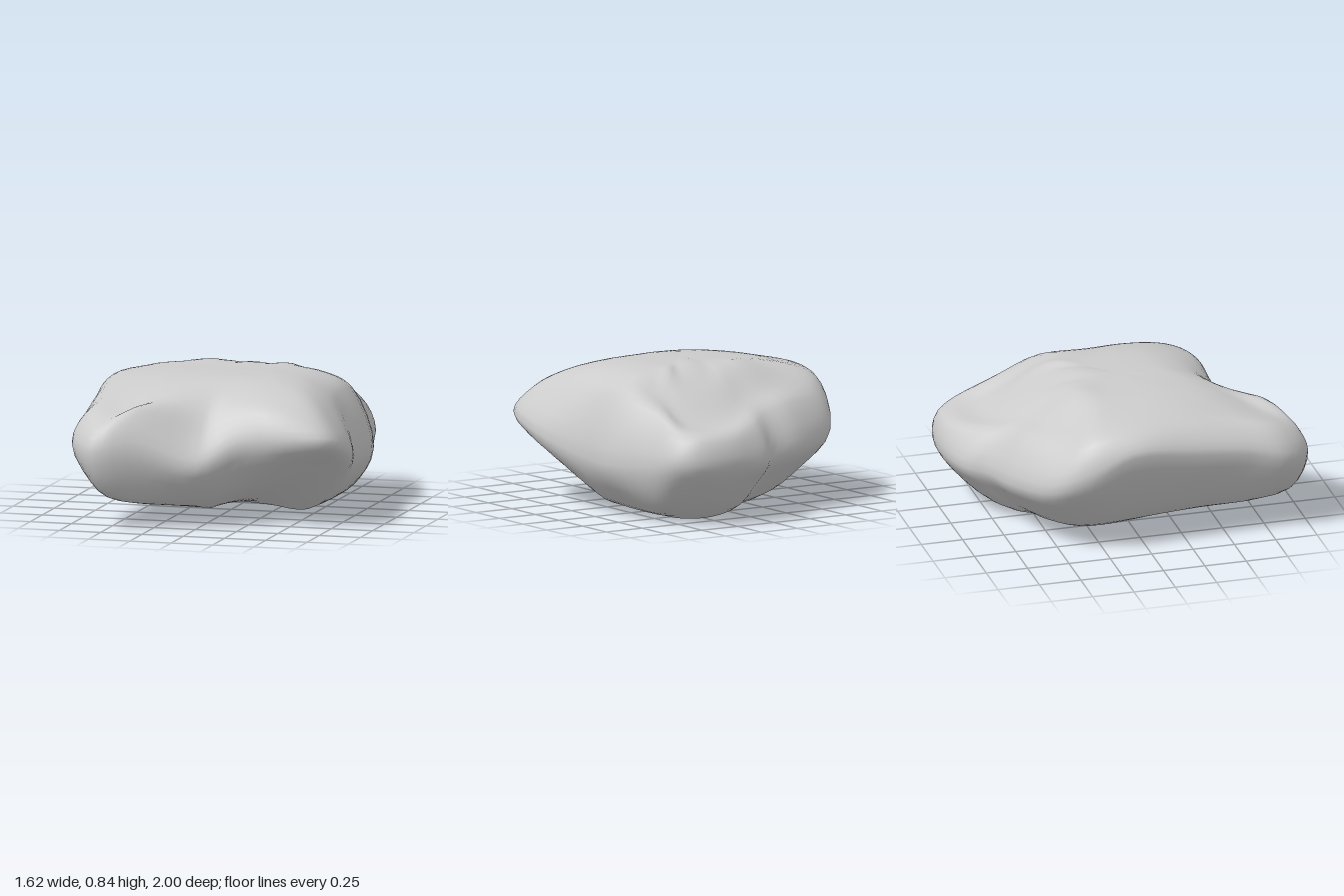
import * as THREE from 'three';
import { mergeVertices } from 'three/addons/utils/BufferGeometryUtils.js';

// Three outlines of the boulder, [x, y, z], running front -> left side -> back -> right side
const girth = [
  [-0.56, 0.46, 1.0], [-0.3, 0.46, 0.91], [0.02, 0.36, 0.8], [0.25, 0.47, 0.68], [0.52, 0.5, 0.67],
  [0.76, 0.51, 0.6], [0.81, 0.43, 0.3], [0.74, 0.34, -0.05], [0.75, 0.32, -0.35], [0.67, 0.34, -0.65],
  [0.61, 0.37, -0.88], [0.5, 0.37, -0.97], [0.25, 0.37, -1.0], [0, 0.35, -0.93], [-0.12, 0.35, -0.82],
  [-0.36, 0.37, -0.75], [-0.66, 0.41, -0.58], [-0.78, 0.5, -0.38], [-0.81, 0.64, -0.12],
  [-0.77, 0.6, 0.25], [-0.74, 0.55, 0.6], [-0.72, 0.48, 0.84],
];
const shoulder = [
  [-0.52, 0.62, 0.92], [-0.32, 0.7, 0.82], [0.01, 0.57, 0.67], [0.19, 0.65, 0.61], [0.45, 0.67, 0.61],
  [0.67, 0.65, 0.53], [0.68, 0.65, 0.27], [0.62, 0.69, -0.05], [0.62, 0.7, -0.33], [0.56, 0.63, -0.62],
  [0.54, 0.54, -0.85], [0.45, 0.53, -0.93], [0.23, 0.53, -0.94], [0.03, 0.54, -0.84], [-0.13, 0.58, -0.7],
  [-0.33, 0.62, -0.64], [-0.61, 0.63, -0.5], [-0.72, 0.71, -0.35], [-0.74, 0.75, -0.1],
  [-0.7, 0.73, 0.22], [-0.66, 0.69, 0.55], [-0.64, 0.66, 0.78],
];
const base = [
  [-0.52, 0.22, 0.91], [-0.25, 0.17, 0.76], [0, 0.17, 0.66], [0.21, 0.24, 0.55], [0.42, 0.31, 0.52],
  [0.67, 0.37, 0.47], [0.69, 0.25, 0.2], [0.65, 0.15, -0.08], [0.63, 0.12, -0.35], [0.57, 0.1, -0.63],
  [0.53, 0.2, -0.82], [0.44, 0.23, -0.9], [0.23, 0.22, -0.91], [0.02, 0.21, -0.83], [-0.1, 0.2, -0.72],
  [-0.31, 0.21, -0.64], [-0.53, 0.22, -0.49], [-0.6, 0.24, -0.31], [-0.6, 0.24, -0.08],
  [-0.58, 0.23, 0.2], [-0.57, 0.22, 0.5], [-0.58, 0.22, 0.77],
];

const clampUp = (value) => Math.max(0, value);

// Tilted underside that lifts towards the front left corner
const undersideY = (x, z) => clampUp(0.055 - 0.07 * x + 0.06 * z + 1.1 * clampUp(x) * clampUp(z));

// Broad flat top, rounding off gently in front and breaking to a straight slope behind
const topY = (x, z) =>
  0.838 - 0.1 * x * x - 0.25 * clampUp(z - 0.05) ** 2 - 0.58 * clampUp(-0.3 - z);

// A point moved in towards the middle axis and set onto a height rule, keeping part of its own height
function inward(p, amount, heightRule, keep = 0) {
  const x = p.x * amount;
  const z = p.z * amount;
  return new THREE.Vector3(x, THREE.MathUtils.lerp(heightRule(x, z), p.y, keep), z);
}

function boulderGeometry(around, up) {
  const [waist, brow, foot] = [girth, shoulder, base].map((ring) =>
    new THREE.CatmullRomCurve3(ring.map((p) => new THREE.Vector3(...p)), true, 'centripetal'));
  const positions = [];
  const indices = [];

  // One vertical rib per step around the outlines, from the underside to the crown
  for (let i = 0; i < around; i++) {
    const t = i / around;
    const low = foot.getPoint(t);
    const high = brow.getPoint(t);
    const rib = new THREE.CatmullRomCurve3([
      inward(low, 0, undersideY), inward(low, 0.35, undersideY), inward(low, 0.7, undersideY),
      low, waist.getPoint(t), high,
      inward(high, 0.78, topY, 0.2), inward(high, 0.5, topY), inward(high, 0.25, topY),
      inward(high, 0, topY),
    ], false, 'centripetal');
    for (let j = 0; j <= up; j++) {
      const p = rib.getPoint(j / up);
      positions.push(p.x, clampUp(p.y), p.z);
    }
  }

  // Skin between neighbouring ribs, closing to a point at both poles
  const at = (i, j) => (i % around) * (up + 1) + j;
  for (let i = 0; i < around; i++) {
    for (let j = 0; j < up; j++) {
      if (j > 0) indices.push(at(i, j), at(i + 1, j), at(i + 1, j + 1));
      if (j < up - 1) indices.push(at(i, j), at(i + 1, j + 1), at(i, j + 1));
    }
  }

  const geometry = new THREE.BufferGeometry();
  geometry.setAttribute('position', new THREE.Float32BufferAttribute(positions, 3));
  geometry.setIndex(indices);
  const welded = mergeVertices(geometry, 1e-5);
  welded.computeVertexNormals();
  return welded;
}

export function createModel() {
  const model = new THREE.Group();
  model.name = 'boulder';
  const rock = new THREE.Mesh(
    boulderGeometry(girth.length * 4, 36),
    new THREE.MeshStandardMaterial({ color: 0xcccccc }));
  rock.name = 'rock';
  model.add(rock);
  return model;
}
